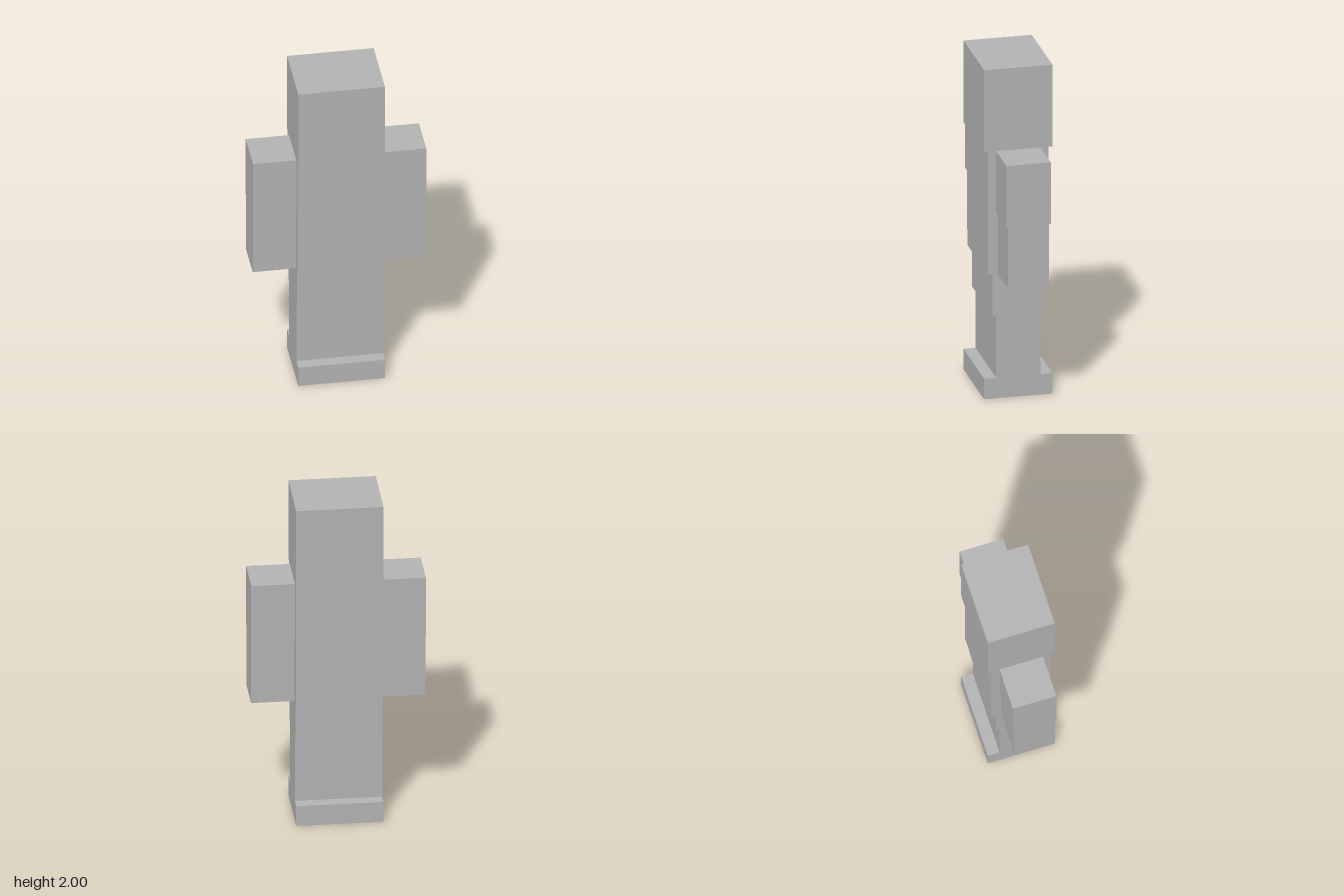
import * as THREE from 'three';

export function createModel() {
  const model = new THREE.Group();
  model.name = 'blockFigure';
  const grey = new THREE.MeshStandardMaterial({ color: 0xb2b2b2 });
  grey.name = 'grey';

  // Block spanning y0..y1, centred on z = 0
  function block(name, parent, x, width, y0, y1, depth) {
    const mesh = new THREE.Mesh(new THREE.BoxGeometry(width, y1 - y0, depth), grey);
    mesh.name = name;
    mesh.position.set(x, (y0 + y1) / 2, 0);
    parent.add(mesh);
  }

  // Central column, bottom to top
  block('feet', model, 0, 0.5, 0, 0.125, 0.4);
  block('lowerLegs', model, 0, 0.5, 0.125, 0.502, 0.26);
  block('upperLegs', model, 0, 0.5, 0.502, 0.755, 0.304);
  block('torso', model, 0, 0.5, 0.755, 1.503, 0.356);
  block('head', model, 0, 0.5, 1.503, 2, 0.4);

  // Mirrored arms
  for (const [name, side] of [['leftArm', 1], ['rightArm', -1]]) {
    const arm = new THREE.Group();
    arm.name = name;
    block('upperArm', arm, side * 0.375, 0.25, 1.128, 1.503, 0.26);
    block('lowerArm', arm, side * 0.375, 0.25, 0.755, 1.128, 0.24);
    model.add(arm);
  }
  return model;
}
